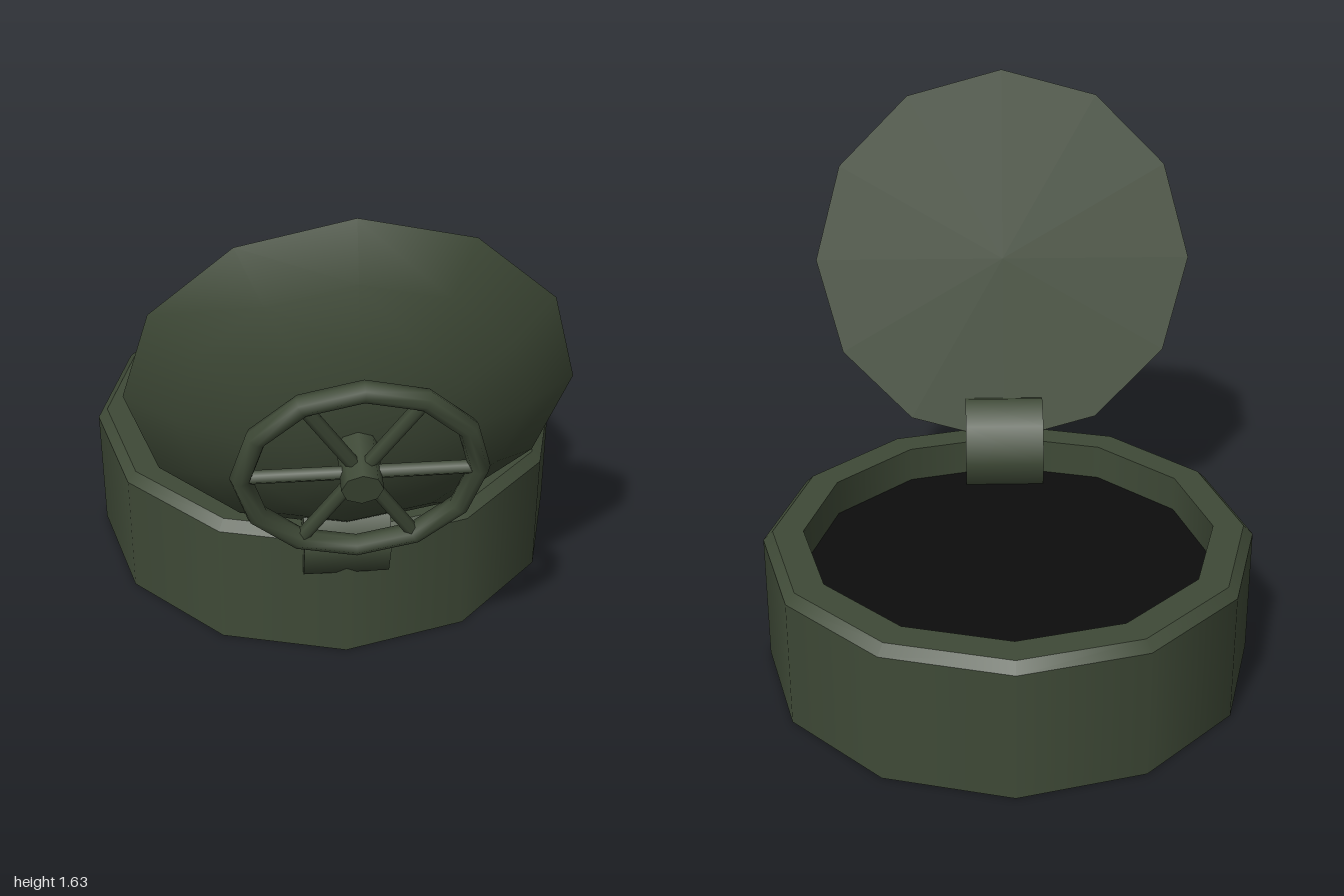
import * as THREE from 'three';

const SIDES = 12;

export function createModel() {
  const green = new THREE.MeshStandardMaterial({ color: 0x3f4a37, side: THREE.DoubleSide });
  green.name = 'dark olive';
  const black = new THREE.MeshStandardMaterial({ color: 0x0d0d0d, side: THREE.DoubleSide });
  black.name = 'black';

  const model = new THREE.Group();
  model.name = 'hatch';

  const add = (parent, name, geometry, material = green) => {
    const mesh = new THREE.Mesh(geometry, material);
    mesh.name = name;
    parent.add(mesh);
    return mesh;
  };

  // Base collar: open wall, bevel, flat rim and inner lip around a dark opening
  const base = new THREE.Group();
  base.name = 'base';
  base.position.z = -0.24;
  model.add(base);

  const band = (name, rTop, rBottom, y0, y1) =>
    add(base, name, new THREE.CylinderGeometry(rTop, rBottom, y1 - y0, SIDES, 1, true)
      .translate(0, (y0 + y1) / 2, 0));
  band('outerWall', 0.76, 0.76, 0, 0.41);
  band('rimBevel', 0.73, 0.76, 0.41, 0.44);
  band('innerLip', 0.635, 0.635, 0.32, 0.44);
  add(base, 'rimTop', new THREE.RingGeometry(0.635, 0.73, SIDES).rotateX(-Math.PI / 2).translate(0, 0.44, 0));
  add(base, 'opening', new THREE.CircleGeometry(0.635, SIDES).rotateX(-Math.PI / 2).translate(0, 0.325, 0), black);

  // Hinge barrel lying across the front of the rim
  const hinge = add(model, 'hinge', new THREE.CylinderGeometry(0.165, 0.165, 0.26, 8).rotateZ(Math.PI / 2));
  hinge.position.set(0, 0.42, 0.395);

  // Lid tipped open; its local +z is the outward axis
  const lid = new THREE.Group();
  lid.name = 'lid';
  lid.position.set(0, 1.022, 0.583);
  lid.rotation.x = Math.PI / 12;
  model.add(lid);

  const lidRadius = 0.63, lidHeight = 0.225;
  const R = (lidRadius ** 2 + lidHeight ** 2) / (2 * lidHeight);
  const capAngle = Math.asin(lidRadius / R);
  add(lid, 'lidDome', new THREE.SphereGeometry(R, SIDES, 4, 0, Math.PI * 2, 0, capAngle)
    .rotateX(Math.PI / 2).translate(0, 0, lidHeight - R));
  add(lid, 'lidUnderside', new THREE.CircleGeometry(lidRadius, SIDES).rotateY(Math.PI));

  // Hand wheel with hub and six spokes
  const wheel = new THREE.Group();
  wheel.name = 'handWheel';
  wheel.position.z = 0.31;
  lid.add(wheel);
  add(wheel, 'wheelRim', new THREE.TorusGeometry(0.32, 0.03, 8, SIDES));
  add(wheel, 'hub', new THREE.CylinderGeometry(0.057, 0.057, 0.18, 8)
    .rotateX(Math.PI / 2).translate(0, 0, -0.028));
  for (let i = 0; i < 6; i++) {
    const spoke = add(wheel, 'spoke', new THREE.CylinderGeometry(0.02, 0.02, 0.31, 6)
      .rotateZ(-Math.PI / 2).translate(0.155, 0, 0));
    spoke.rotation.z = i * Math.PI / 3;
  }

  return model;
}
